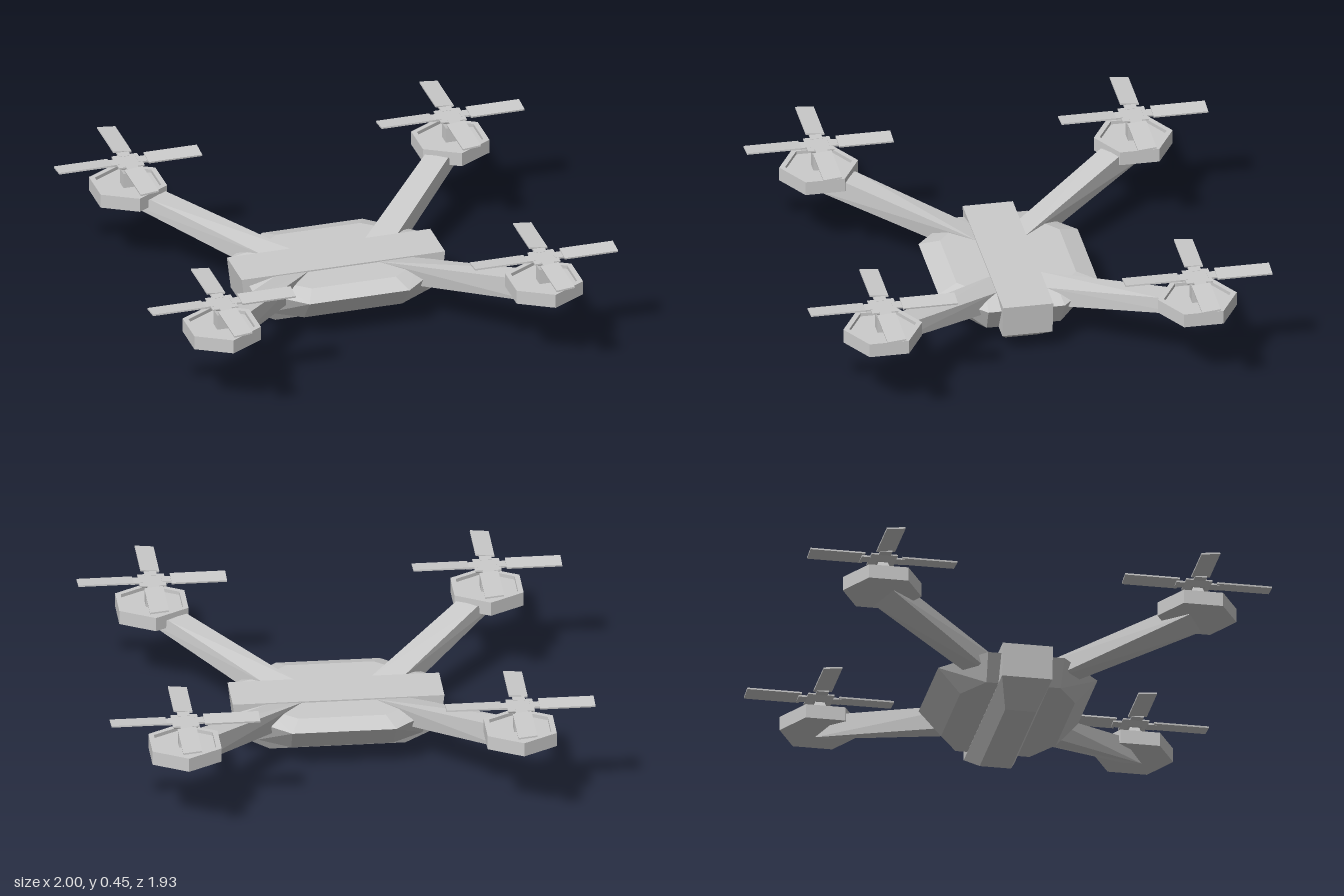
import * as THREE from 'three';
import { ConvexGeometry } from 'three/addons/geometries/ConvexGeometry.js';

const material = new THREE.MeshStandardMaterial({ color: 0xcccccc, flatShading: true });

function part(name, geometry, parent, x = 0, y = 0, z = 0) {
  const mesh = new THREE.Mesh(geometry, material);
  mesh.name = name;
  mesh.position.set(x, y, z);
  parent.add(mesh);
  return mesh;
}

// Convex solid from corner points [x, y, z], each mirrored into all four quadrants
function mirroredSolid(corners) {
  const points = [];
  for (const [x, y, z] of corners)
    for (const sx of [-1, 1])
      for (const sz of [-1, 1]) points.push(new THREE.Vector3(sx * x, y, sz * z));
  return new ConvexGeometry(points);
}

// Hexagon outline with a corner pointing along z
function hexagon(radius, Type) {
  const path = new Type();
  for (let i = 0; i < 6; i++) {
    const a = Math.PI / 2 + (i * Math.PI) / 3;
    if (i === 0) path.moveTo(radius * Math.cos(a), radius * Math.sin(a));
    else path.lineTo(radius * Math.cos(a), radius * Math.sin(a));
  }
  path.closePath();
  return path;
}

// Motor pod, drive shaft and four-bladed propeller
function createRotor(name) {
  const rotor = new THREE.Group();
  rotor.name = name;

  const base = new THREE.CylinderGeometry(0.165, 0.165, 0.045, 6);
  part('motorPod', base, rotor, 0, 0.3075, 0);

  const rimShape = hexagon(0.165, THREE.Shape);
  rimShape.holes.push(hexagon(0.14, THREE.Path));
  const rim = new THREE.ExtrudeGeometry(rimShape, { depth: 0.015, bevelEnabled: false });
  rim.rotateX(-Math.PI / 2);
  part('motorRim', rim, rotor, 0, 0.33, 0);

  part('shaft', mirroredSolid([[0.027, 0.325, 0.027], [0.027, 0.395, 0.027], [0.019, 0.42, 0.019]]), rotor);
  part('hub', mirroredSolid([[0.03, 0.418, 0.03], [0.055, 0.434, 0.055], [0.055, 0.44, 0.055]]), rotor);

  for (let i = 0; i < 4; i++) {
    const arm = new THREE.Group();
    arm.name = 'propellerBlade';
    arm.rotation.y = (i * Math.PI) / 2;
    part('bladeNeck', new THREE.BoxGeometry(0.05, 0.008, 0.05), arm, 0.065, 0.437, 0);
    const blade = part('blade', new THREE.BoxGeometry(0.229, 0.007, 0.078), arm, 0.1925, 0.441, 0);
    blade.rotation.x = 0.1;
    rotor.add(arm);
  }
  return rotor;
}

export function createModel() {
  const model = new THREE.Group();
  model.name = 'quadcopter';

  // Faceted octagonal hull
  part('hull', mirroredSolid([
    [0.21, 0.088, 0.24], [0.34, 0.088, 0.155],
    [0.215, 0.195, 0.333], [0.405, 0.195, 0.16],
    [0.18, 0.222, 0.25], [0.3, 0.222, 0.15],
  ]), model);

  // Long centre spine with a tapered belly
  part('spine', mirroredSolid([
    [0.437, 0.228, 0.105], [0.42, 0.087, 0.105], [0.28, 0, 0.065],
  ]), model);

  for (const sx of [-1, 1]) {
    for (const sz of [-1, 1]) {
      const place = (sz > 0 ? 'front' : 'rear') + (sx > 0 ? 'Left' : 'Right');

      // Tapered arm rising outward to the motor pod
      const corners = [
        [0.15, 0.222, 0.1], [0.29, 0.222, 0.1],
        [0.17, 0.13, 0.1], [0.29, 0.14, 0.1],
        [0.562, 0.322, 0.578], [0.638, 0.322, 0.512],
        [0.652, 0.247, 0.683], [0.735, 0.283, 0.62],
      ];
      const points = corners.map(([x, y, z]) => new THREE.Vector3(sx * x, y, sz * z));
      part(place + 'Arm', new ConvexGeometry(points), model);

      const rotor = createRotor(place + 'Rotor');
      rotor.position.set(sx * 0.692, 0, sz * 0.658);
      model.add(rotor);
    }
  }
  return model;
}
